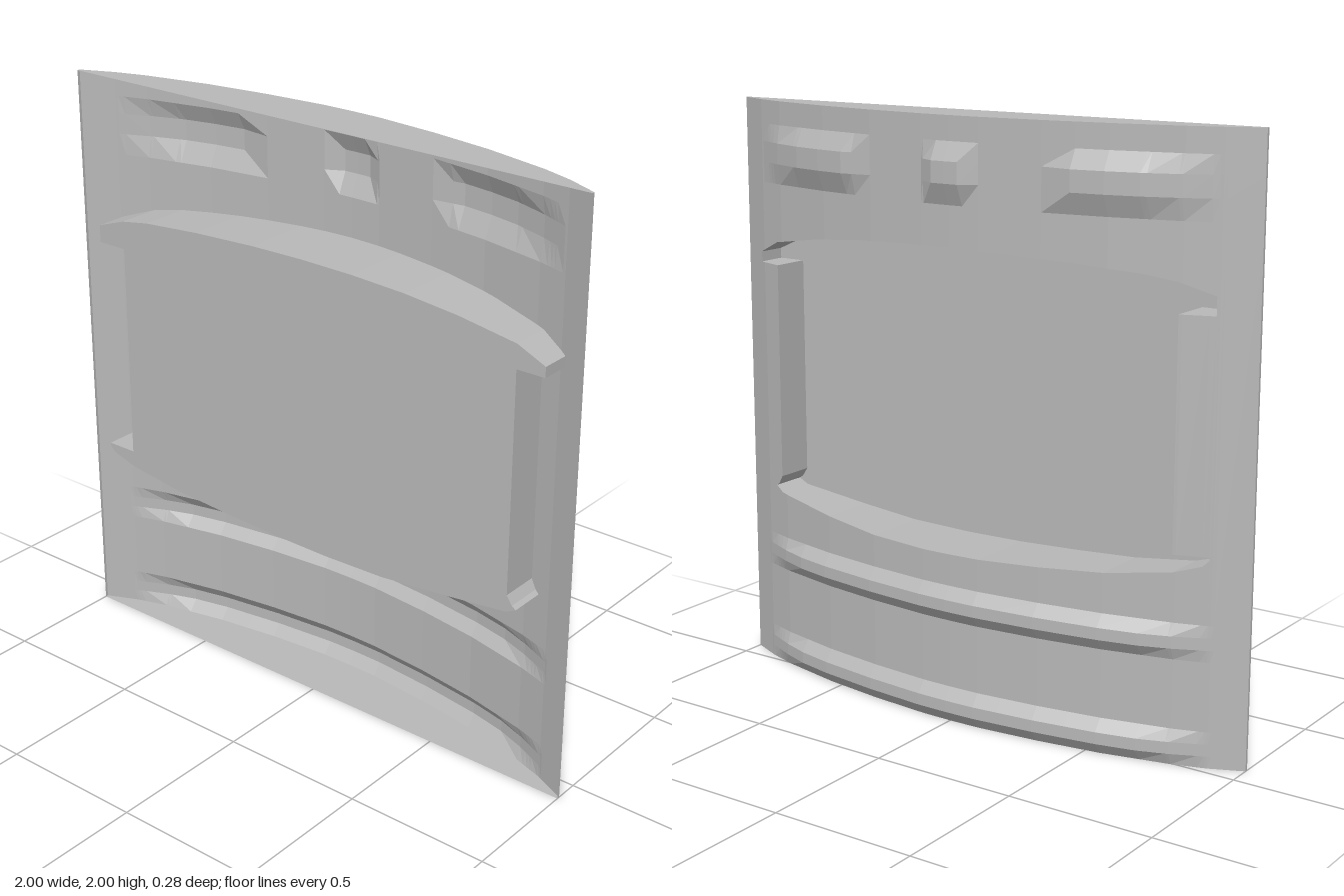
import * as THREE from 'three';

const FRONT = 0.09;   // open front edge of the shell
const FLOOR = 0.14;   // plane of the pocket floor
const clamp = (v) => Math.max(0, Math.min(1, v));

// Piecewise linear function through [x, value] points
function linear(points) {
  return (x) => {
    if (x <= points[0][0]) return points[0][1];
    for (let i = 1; i < points.length; i++) {
      const [x0, v0] = points[i - 1], [x1, v1] = points[i];
      if (x <= x1) return v0 + (v1 - v0) * (x - x0) / (x1 - x0);
    }
    return points[points.length - 1][1];
  };
}

// Half section of the bowed shell, mirrored by |x|
const section = [[0, -0.112], [0.11, -0.11], [0.33, -0.09], [0.55, -0.058], [0.78, -0.006], [0.89, 0.03], [1, 0.08]];
const bow = (x) => linear(section)(Math.abs(x));

// Upper and lower edges of the pocket opening
const topPoints = [[-0.88, 1.5], [-0.77, 1.537], [-0.66, 1.555], [-0.44, 1.572], [-0.2, 1.583], [0, 1.586],
  [0.2, 1.583], [0.4, 1.573], [0.6, 1.553], [0.81, 1.52], [0.91, 1.475]];
const bottomPoints = [[-0.88, 0.68], [-0.86, 0.66], [-0.77, 0.632], [-0.55, 0.603], [-0.33, 0.589], [-0.11, 0.579],
  [0.1, 0.576], [0.33, 0.581], [0.55, 0.602], [0.81, 0.632], [0.845, 0.65]];
const topEdge = linear(topPoints), bottomEdge = linear(bottomPoints);
const LEFT = -0.77, RIGHT = 0.81, SHOULDER = 1.44;
const sill = linear([[0.81, 0.69], [0.83, 0.66], [0.845, 0.65]]);

// Height of the pressed ridges and bumps, 0 to 1
function relief(x, y) {
  const a = Math.abs(x);
  const band = (y0, y1, y2, y3) => clamp(Math.min((y - y0) / (y1 - y0), (y3 - y) / (y3 - y2)));
  const ridge = Math.max(band(0, 0.04, 0.08, 0.12), band(0.35, 0.39, 0.43, 0.47));
  const bump = band(1.72, 1.79, 1.86, 1.92);
  const middle = clamp((0.11 - a) / 0.06);
  const side = clamp(Math.min((a - 0.33) / 0.11, (0.88 - a) / 0.22));
  return Math.max(Math.min(ridge, clamp((0.9 - a) / 0.22)), Math.min(bump, Math.max(middle, side)));
}
const back = (x, y) => [x, y, bow(x) - 0.03 * relief(x, y)];

// All column positions
const halves = [...section.map((p) => p[0]), 0.05, 0.44, 0.66, 0.68, 0.88, 0.9];
const columns = [...new Set([...halves, ...halves.map((x) => (x ? -x : 0)), 0.83,
  ...topPoints.map((p) => p[0]), ...bottomPoints.map((p) => p[0])])].sort((a, b) => a - b);

// Flat-faced mesh from a list of four-cornered faces
function facedMesh(name, faces, material) {
  const positions = faces.flatMap(([a, b, c, d]) => [...a, ...b, ...c, ...a, ...c, ...d]);
  const geometry = new THREE.BufferGeometry();
  geometry.setAttribute('position', new THREE.Float32BufferAttribute(positions, 3));
  geometry.computeVertexNormals();
  const mesh = new THREE.Mesh(geometry, material);
  mesh.name = name;
  return mesh;
}

export function createModel() {
  const group = new THREE.Group();
  group.name = 'curvedPanel';
  const grey = new THREE.MeshStandardMaterial({ color: 0xb8b8b8, side: THREE.DoubleSide });
  grey.name = 'grey';

  const lower = [], middle = [], upper = [], caps = [];
  const lowerRows = [0, 0.04, 0.08, 0.12, 0.35, 0.39, 0.43, 0.47, 0.5];
  const upperRows = [1.65, 1.72, 1.79, 1.86, 1.92, 2];

  for (let i = 1; i < columns.length; i++) {
    const x0 = columns[i - 1], x1 = columns[i], mid = (x0 + x1) / 2;
    const patch = (list, low, high) => list.push(
      [back(x1, low(x1)), back(x0, low(x0)), back(x0, high(x0)), back(x1, high(x1))]);
    const rows = (list, ys) => {
      for (let j = 1; j < ys.length; j++) patch(list, () => ys[j - 1], () => ys[j]);
    };
    rows(lower, lowerRows);
    rows(upper, upperRows);

    // Shell around the opening
    const low = () => 0.5, high = () => 1.65, shoulder = () => SHOULDER;
    if (mid < -0.88 || mid > 0.91) {
      patch(middle, low, high);
    } else {
      patch(middle, low, bottomEdge);
      patch(middle, topEdge, high);
      if (mid < LEFT) patch(middle, () => 0.69, shoulder);
      if (mid > RIGHT) patch(middle, sill, shoulder);
    }

    // Top and bottom caps
    const b0 = bow(x0), b1 = bow(x1);
    caps.push([[x0, 2, FRONT], [x1, 2, FRONT], [x1, 2, b1], [x0, 2, b0]]);
    caps.push([[x0, 0, b0], [x1, 0, b1], [x1, 0, FRONT], [x0, 0, FRONT]]);
  }

  // Narrow side edges
  const edges = [
    [[1, 0, FRONT], [1, 0, 0.08], [1, 2, 0.08], [1, 2, FRONT]],
    [[-1, 0, 0.08], [-1, 0, FRONT], [-1, 2, FRONT], [-1, 2, 0.08]],
  ];

  // Outline of the pocket, anticlockwise from the front
  const between = (a, b) => columns.filter((x) => x >= a && x <= b);
  const outline = [
    ...between(-0.88, 0.845).map((x) => [x, bottomEdge(x)]),
    [0.83, 0.66], [0.81, 0.69], [0.81, SHOULDER],
    ...between(0.83, 0.9).map((x) => [x, SHOULDER]), [0.91, SHOULDER],
    ...between(-0.88, 0.91).reverse().map((x) => [x, topEdge(x)]),
    [-0.88, SHOULDER], [-0.78, SHOULDER], [LEFT, SHOULDER],
    [LEFT, 0.69], [-0.78, 0.69], [-0.88, 0.69],
  ];
  const walls = outline.map(([x0, y0], i) => {
    const [x1, y1] = outline[(i + 1) % outline.length];
    return [[x0, y0, bow(x0)], [x1, y1, bow(x1)], [x1, y1, FLOOR], [x0, y0, FLOOR]];
  });

  group.add(
    facedMesh('lowerRidgedShell', lower, grey),
    facedMesh('shellAroundOpening', middle, grey),
    facedMesh('upperBumpedShell', upper, grey),
    facedMesh('endCaps', caps, grey),
    facedMesh('sideEdges', edges, grey),
    facedMesh('pocketWalls', walls, grey),
  );

  // Flat pocket floor
  const shape = new THREE.Shape(outline.map(([x, y]) => new THREE.Vector2(x, y)));
  const floor = new THREE.Mesh(new THREE.ShapeGeometry(shape), grey);
  floor.name = 'pocketFloor';
  floor.position.z = FLOOR;
  group.add(floor);
  return group;
}
